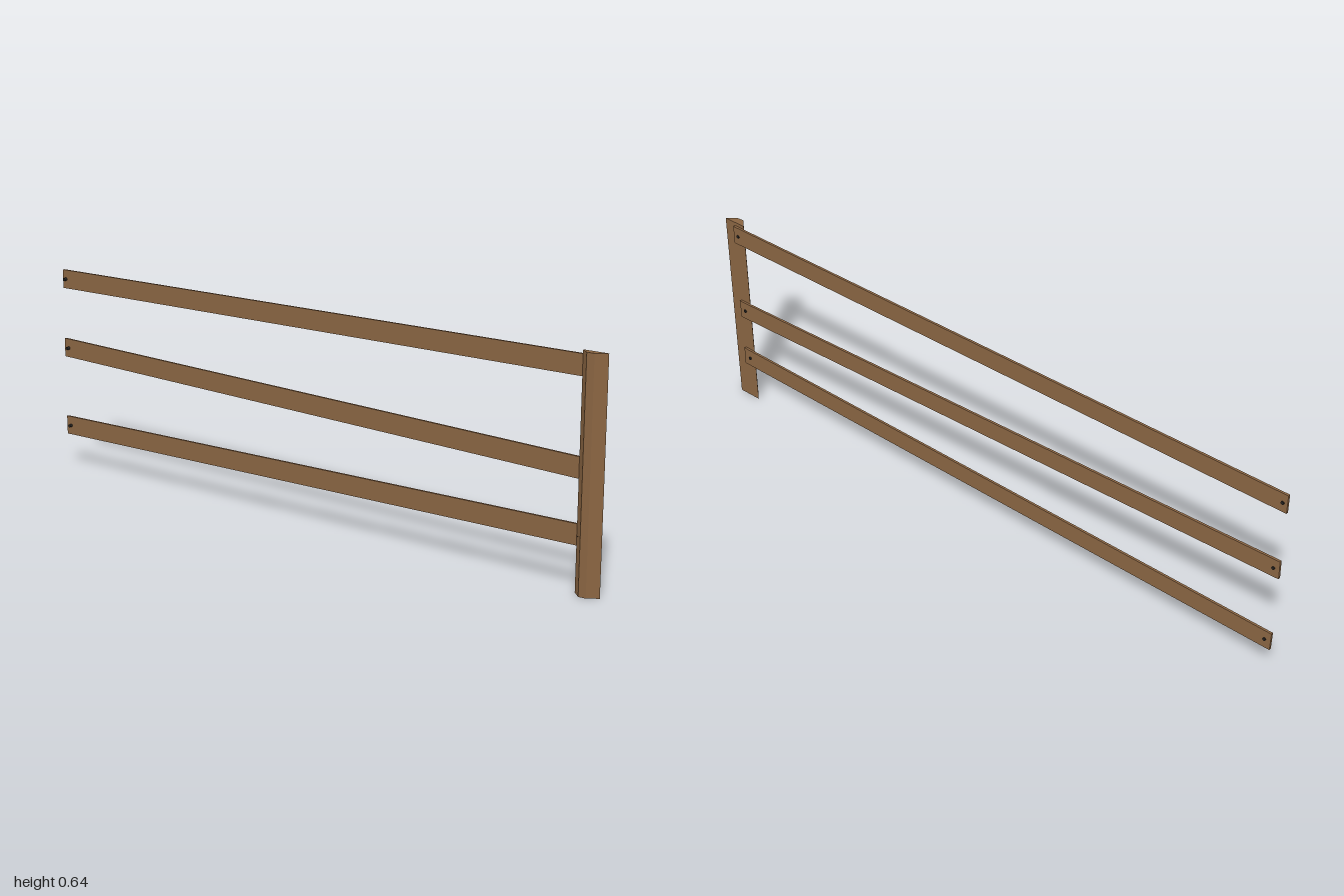
import * as THREE from 'three';

export function createModel() {
  const model = new THREE.Group();
  model.name = 'fenceSection';
  const wood = new THREE.MeshStandardMaterial({ color: 0x8a6542 });
  wood.name = 'brown wood';
  const iron = new THREE.MeshStandardMaterial({ color: 0x252321 });
  iron.name = 'dark iron';

  const add = (geometry, material, name, parent = model) => {
    const mesh = new THREE.Mesh(geometry, material);
    mesh.name = name;
    parent.add(mesh);
    return mesh;
  };

  // Split-log post: flat face towards the rails, faceted back (x, z outline)
  const outline = [[0.006, 1], [-0.0165, 0.972], [-0.018, 0.95], [0.006, 0.924]];
  const shape = new THREE.Shape(outline.map(([x, z]) => new THREE.Vector2(x, -z)));
  const postGeometry = new THREE.ExtrudeGeometry(shape, { depth: 0.64, bevelEnabled: false });
  postGeometry.rotateX(-Math.PI / 2);
  add(postGeometry, wood, 'post');

  // Rails: centre height and bolt position at the post end and at the free end
  const nearZ = 0.962, farZ = -0.999;
  const rails = [
    { name: 'topRail', near: 0.6, far: 0.6, bolts: [0.944, -0.985] },
    { name: 'middleRail', near: 0.332, far: 0.381, bolts: [0.941, -0.981] },
    { name: 'bottomRail', near: 0.156, far: 0.129, bolts: [0.938, -0.98] },
  ];
  for (const { name, near, far, bolts } of rails) {
    const group = new THREE.Group();
    group.name = name;
    model.add(group);

    const rise = near - far, run = nearZ - farZ;
    const plank = add(new THREE.BoxGeometry(0.007, 0.058, Math.hypot(rise, run)), wood, name + 'Plank', group);
    plank.position.set(0.0095, (near + far) / 2, (nearZ + farZ) / 2);
    plank.rotation.x = -Math.atan2(rise, run);

    // Bolts run right through the plank
    for (const z of bolts) {
      const bolt = add(new THREE.CylinderGeometry(0.005, 0.005, 0.02, 8), iron, name + 'Bolt', group);
      bolt.rotation.z = Math.PI / 2;
      bolt.position.set(0.006, far + rise * (z - farZ) / run, z);
    }
  }
  return model;
}
